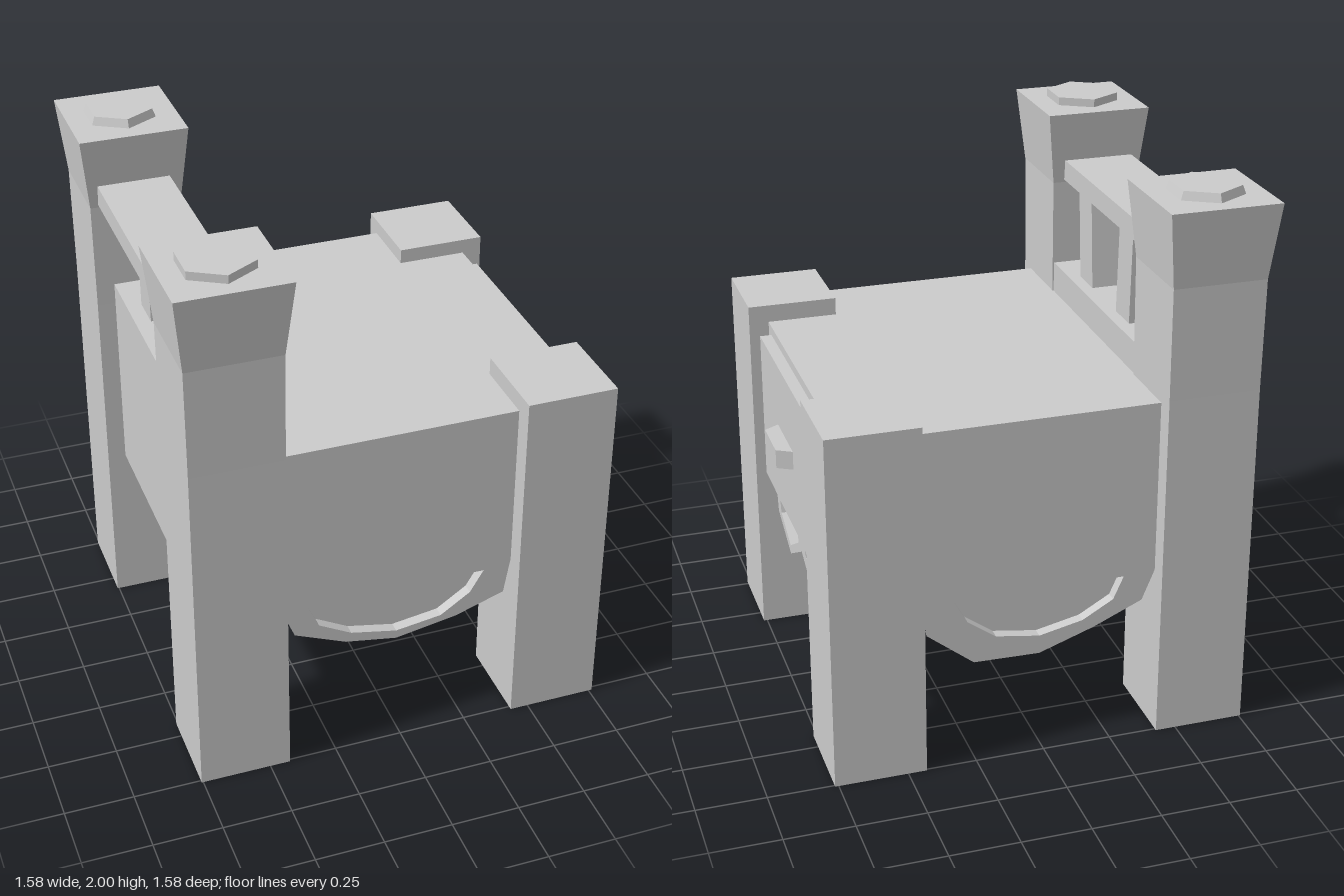
import * as THREE from 'three';

const grey = new THREE.MeshStandardMaterial({ color: 0xcccccc, flatShading: true, side: THREE.DoubleSide });
const SHEET = 0.004;

function add(parent, name, geometry, x = 0, y = 0, z = 0) {
  const mesh = new THREE.Mesh(geometry, grey);
  mesh.name = name;
  mesh.position.set(x, y, z);
  parent.add(mesh);
  return mesh;
}

// Box given by its limits on each axis
function block(parent, name, [x0, x1], [y0, y1], [z0, z1]) {
  return add(parent, name, new THREE.BoxGeometry(x1 - x0, y1 - y0, z1 - z0),
    (x0 + x1) / 2, (y0 + y1) / 2, (z0 + z1) / 2);
}

// Square post, open underneath; the profile lists [half width, height]
function post(parent, name, profile, x, z) {
  const points = profile.map(([w, y]) => new THREE.Vector2(w * Math.SQRT2, y));
  points.push(new THREE.Vector2(0, profile[profile.length - 1][1]));
  return add(parent, name, new THREE.LatheGeometry(points, 4, Math.PI / 4), x, 0, z);
}

const shapeOf = (pts) => new THREE.Shape(pts.map(([x, y]) => new THREE.Vector2(x, y)));

// Walls of a pocket: a strip bent round its outline, from z = 0 back to -depth
function pocketWalls(pts, depth) {
  const n = pts.length;
  const geometry = new THREE.PlaneGeometry(1, 1, n, 1);
  const p = geometry.attributes.position;
  for (let i = 0; i < p.count; i++) {
    const [x, y] = pts[(i % (n + 1)) % n];
    p.setXYZ(i, x, y, i <= n ? 0 : -depth);
  }
  return geometry;
}

// Thin upright panel with sunken pockets; outer face at local z = 0
function pocketPanel(name, outline, pockets) {
  const depth = 0.04;
  const panel = new THREE.Group();
  panel.name = name;
  const shape = shapeOf(outline);
  pockets.forEach((p) => shape.holes.push(shapeOf(p)));
  add(panel, name + 'Sheet', new THREE.ShapeGeometry(shape));
  pockets.forEach((p) => {
    add(panel, name + 'PocketWalls', pocketWalls(p, depth));
    add(panel, name + 'PocketFloor', new THREE.ShapeGeometry(shapeOf(p)), 0, 0, -depth);
  });
  return panel;
}

export function createModel() {
  const model = new THREE.Group();
  model.name = 'cabinet';

  // Posts: tall flared pair at -x, short straight pair at +x
  for (const s of [1, -1]) {
    post(model, 'tallPost', [[0.165, 0], [0.165, 1.3], [0.168, 1.7], [0.197, 1.97]], -0.591, s * 0.595);
    add(model, 'postCap', new THREE.CylinderGeometry(s > 0 ? 0.135 : 0.122, s > 0 ? 0.135 : 0.138, 0.04, 6),
      -0.593, 1.98, s * 0.598);
  }
  post(model, 'shortPost', [[0.165, 0], [0.165, 1.33]], 0.598, 0.6);
  post(model, 'shortPost', [[0.165, 0], [0.165, 1.32]], 0.598, -0.592);

  // Hollow body, open underneath: side panels with curved apron and half-moon pocket
  const shoulders = (low, w) => [[-w, 1.265], [-w, 0.64], ...low, [w, 0.64], [w, 1.265]];
  const lowEdges = {
    left: [[-0.38, 0.51], [-0.19, 0.43], [0, 0.397], [0.23, 0.438], [0.41, 0.5]],
    right: [[-0.38, 0.51], [-0.2, 0.43], [0, 0.36], [0.24, 0.365], [0.41, 0.5]],
  };
  const moon = [[-0.33, 0.615], [-0.29, 0.53], [-0.17, 0.465], [0, 0.43],
    [0.17, 0.455], [0.28, 0.53], [0.33, 0.615]];
  for (const [key, s, moonWidth] of [['left', 1, 1], ['right', -1, 0.94]]) {
    const pocket = moon.map(([x, y]) => [x * moonWidth, y]);
    const side = pocketPanel(key + 'Side', shoulders(lowEdges[key], 0.433), [pocket]);
    side.position.z = s * 0.69;
    side.scale.z = s;
    model.add(side);
  }

  // Drawer-side panel with a double-pointed apron
  const frontLow = [[-0.4, 0.495], [-0.2, 0.41], [0, 0.52], [0.25, 0.4], [0.41, 0.495]];
  const pocketLeft = [[-0.38, 0.615], [-0.35, 0.51], [-0.2, 0.445], [-0.055, 0.53], [-0.05, 0.615]];
  const pocketRight = [[0.06, 0.61], [0.07, 0.53], [0.24, 0.445], [0.35, 0.51], [0.36, 0.61]];
  const front = pocketPanel('drawerPanel', shoulders(frontLow, 0.435), [pocketLeft, pocketRight]);
  front.rotation.y = Math.PI / 2;
  front.position.x = 0.69;
  model.add(front);

  // Top, and the raised bay at the back with its walls between the tall posts
  block(model, 'top', [-0.43, 0.69], [1.265 - SHEET, 1.265], [-0.69, 0.69]);
  block(model, 'backWall', [-0.69, -0.69 + SHEET], [0.63, 1.38], [-0.425, 0.425]);
  block(model, 'ledgeTop', [-0.69, -0.43], [1.38 - SHEET, 1.38], [-0.425, 0.425]);
  block(model, 'ledgeFront', [-0.43 - SHEET, -0.43], [1.262, 1.38], [-0.425, 0.425]);
  for (const s of [1, -1]) {
    const z = s * 0.425;
    block(model, 'bayWall', [-0.69, -0.43], [0.63, 1.38], [z - SHEET / 2, z + SHEET / 2]);
    block(model, 'backShoulder', [-0.43, -0.43 + SHEET], [0.63, 1.265], s > 0 ? [0.425, 0.69] : [-0.69, -0.425]);
  }

  // Drawer face and its tapered handle
  block(model, 'drawer', [0.68, 0.733], [0.67, 1.23], [-0.385, 0.39]);
  const handle = add(model, 'handle', new THREE.ExtrudeGeometry(
    shapeOf([[-0.125, 0], [0.125, 0], [0.09, 0.06], [-0.09, 0.06]]), { depth: 0.07, bevelEnabled: false }), 0.728, 0.918, 0);
  handle.rotation.set(-Math.PI / 2, 0, -Math.PI / 2);

  // Rail on two leaning balusters
  block(model, 'rail', [-0.73, -0.465], [1.71, 1.787], [-0.44, 0.44]);
  for (const [bottom, top] of [[0.188, 0.22], [-0.185, -0.2]]) {
    const geometry = new THREE.BoxGeometry(0.16, 0.36, 0.13);
    const p = geometry.attributes.position;
    for (let i = 0; i < p.count; i++) p.setZ(i, p.getZ(i) + (p.getY(i) > 0 ? top : bottom));
    add(model, 'baluster', geometry, -0.555, 1.55, 0);
  }

  return model;
}
